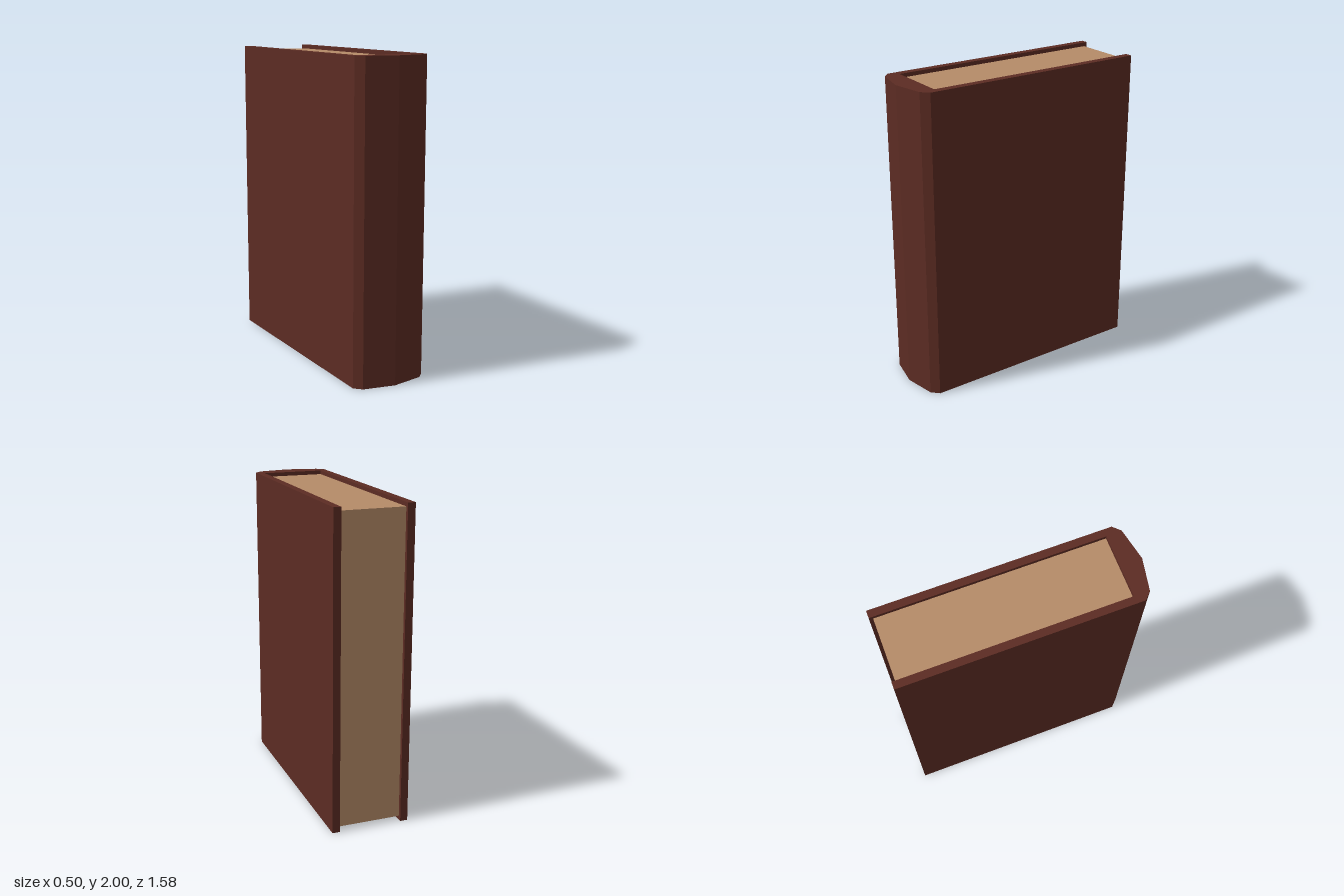
import * as THREE from 'three';

const leather = new THREE.MeshStandardMaterial({ color: 0x5c2c23 });
leather.name = 'brown leather';
const paper = new THREE.MeshStandardMaterial({ color: 0xb58b68 });
paper.name = 'aged paper';

const HEIGHT = 2, RECESS = 0.025;

export function createModel() {
  const book = new THREE.Group();
  book.name = 'book';

  // Cover: one U-shaped outline (x, z) with a faceted spine, drawn up the height
  const half = [
    [0.202, -0.793], [0.25, -0.793], [0.25, 0.705], [0.205, 0.75],
  ];
  const inner = 0.652;
  const outline = [
    [0.202, inner], ...half, [0, 0.79],
    ...half.map(([x, z]) => [-x, z]).reverse(), [-0.202, inner],
  ];
  const shape = new THREE.Shape(outline.map(([x, z]) => new THREE.Vector2(x, -z)));
  const coverGeometry = new THREE.ExtrudeGeometry(shape, { depth: HEIGHT, bevelEnabled: false });
  coverGeometry.rotateX(-Math.PI / 2);
  const cover = new THREE.Mesh(coverGeometry, leather);
  cover.name = 'cover';
  book.add(cover);

  // Page block, set in slightly from the top, bottom and open edge
  const back = -0.77;
  const pages = new THREE.Mesh(
    new THREE.BoxGeometry(0.404, HEIGHT - 2 * RECESS, inner - back), paper);
  pages.position.set(0, HEIGHT / 2, (inner + back) / 2);
  pages.name = 'pages';
  book.add(pages);

  return book;
}
